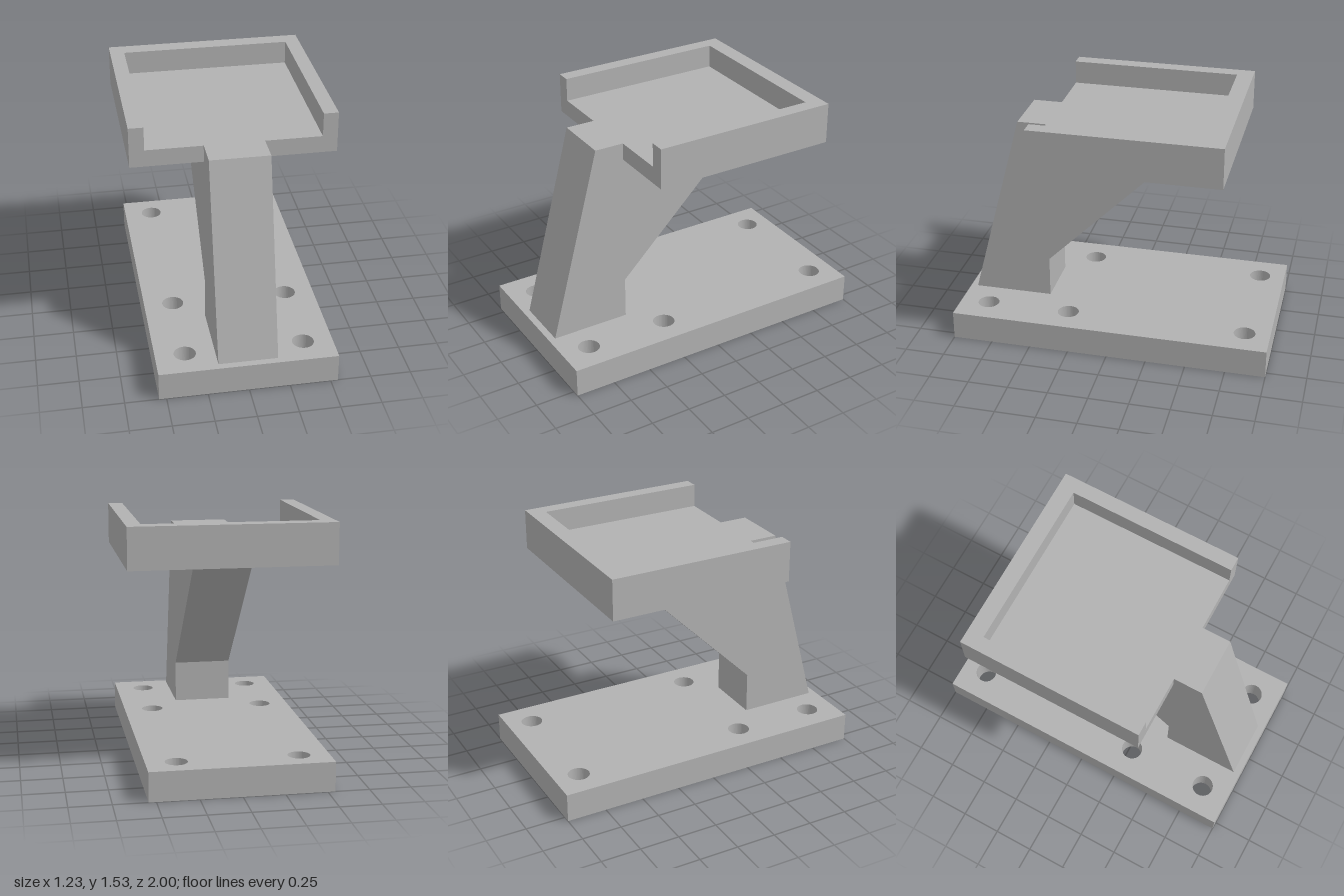
import * as THREE from 'three';

const grey = new THREE.MeshStandardMaterial({ color: 0xb2b2b2 });
grey.name = 'grey';

const polygon = (points) => new THREE.Shape(points.map(([a, b]) => new THREE.Vector2(a, b)));

// Extrudes a plan outline, given as [x, -z], upwards from y = bottom to y = top
function slab(shape, bottom, top) {
  const geo = new THREE.ExtrudeGeometry(shape, { depth: top - bottom, bevelEnabled: false, curveSegments: 24 });
  return geo.rotateX(-Math.PI / 2).translate(0, bottom, 0);
}

export function createModel() {
  const model = new THREE.Group();
  model.name = 'cradleStand';
  const add = (name, geometry, parent = model) => {
    const mesh = new THREE.Mesh(geometry, grey);
    mesh.name = name;
    parent.add(mesh);
  };

  // Base plate with three pairs of through holes
  const base = polygon([[-0.545, -1], [0.545, -1], [0.545, 1], [-0.545, 1]]);
  for (const z of [0.82, 0.29, -0.84]) {
    for (const x of [-0.363, 0.363]) {
      base.holes.push(new THREE.Path().absarc(x, -z, 0.067, 0, Math.PI * 2, true));
    }
  }
  add('basePlate', slab(base, 0, 0.18));

  // Leaning support, drawn as a side profile [z, y] and extruded across x
  const halfWidth = 0.181;
  const profile = polygon([
    [0.46, 0.18], [0.957, 0.18], [0.637, 1.383], [0.455, 1.383],
    [0.455, 1.277], [-0.38, 1.277], [0.46, 0.442],
  ]);
  const support = new THREE.ExtrudeGeometry(profile, { depth: halfWidth * 2, bevelEnabled: false });
  add('support', support.rotateY(-Math.PI / 2).translate(halfWidth, 0, 0));

  // Tray: floor plus a rim that is open at the front
  const tray = new THREE.Group();
  tray.name = 'tray';
  model.add(tray);
  const outer = 0.617, inner = 0.527, front = -0.455, back = 0.708, innerBack = 0.605;
  add('trayFloor', slab(polygon([[-outer, front], [outer, front], [outer, back], [-outer, back]]), 1.277, 1.383), tray);
  add('trayRim', slab(polygon([
    [-outer, front], [-inner, front], [-inner, innerBack], [inner, innerBack],
    [inner, front], [outer, front], [outer, back], [-outer, back],
  ]), 1.383, 1.53), tray);

  return model;
}
